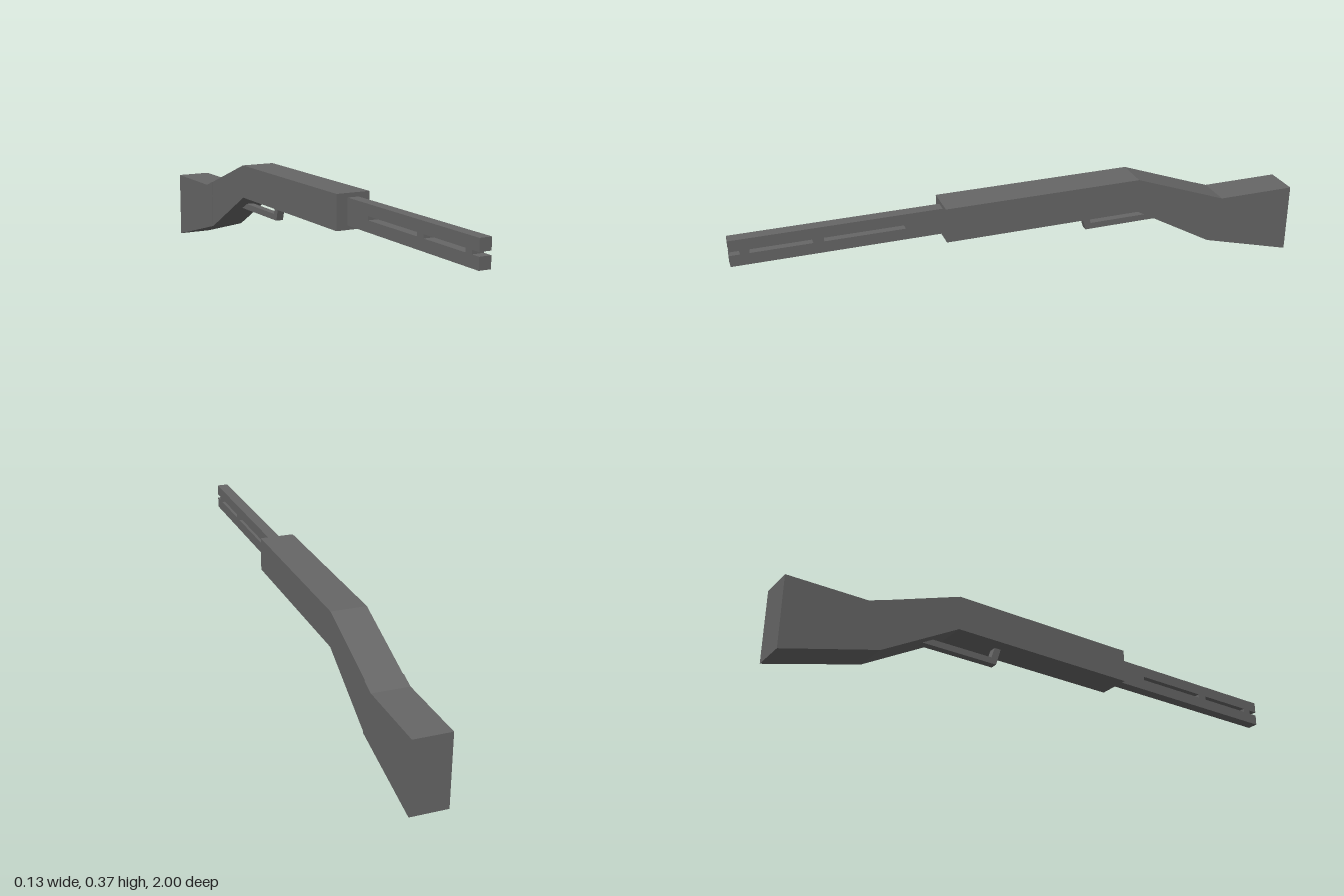
import * as THREE from 'three';

export function createModel() {
  const model = new THREE.Group();
  const darkGrey = new THREE.MeshStandardMaterial({ color: 0x666666 });
  darkGrey.name = 'darkGrey';

  const toPoints = (pairs) => pairs.map(([z, y]) => new THREE.Vector2(z, y));

  // Extrudes a side profile of [z, y] points evenly about x = 0
  function addProfile(name, outline, width, holes = []) {
    const shape = new THREE.Shape(toPoints(outline));
    for (const hole of holes) shape.holes.push(new THREE.Path(toPoints(hole)));
    const geometry = new THREE.ExtrudeGeometry(shape, { depth: width, bevelEnabled: false });
    geometry.translate(0, 0, -width / 2);
    geometry.rotateY(-Math.PI / 2);
    const mesh = new THREE.Mesh(geometry, darkGrey);
    mesh.name = name;
    model.add(mesh);
  }

  // Twin barrel plate: two long slots and an open notch at the muzzle
  const slotLow = 0.302, slotHigh = 0.315;
  const slot = (z0, z1) => [[z0, slotLow], [z0, slotHigh], [z1, slotHigh], [z1, slotLow]];
  addProfile('barrels', [
    [0.28, 0.263], [1, 0.263], [1, slotLow], [0.967, slotLow],
    [0.967, slotHigh], [1, slotHigh], [1, 0.354], [0.28, 0.354],
  ], 0.041, [slot(0.43, 0.7), slot(0.735, 0.937)]);

  // Straight receiver block
  addProfile('receiver', [[-0.39, 0.248], [0.303, 0.248], [0.303, 0.369], [-0.39, 0.369]], 0.122);

  // Sloping wrist, then the slightly wider butt
  addProfile('wrist', [[-0.67, 0.09], [-0.39, 0.248], [-0.39, 0.369], [-0.67, 0.266]], 0.122);
  addProfile('butt', [[-1, 0], [-0.67, 0.09], [-0.67, 0.266], [-0.72, 0.248], [-1, 0.248]], 0.126);

  // Hooked trigger guard
  addProfile('triggerGuard', [
    [-0.196, 0.25], [-0.22, 0.25], [-0.233, 0.209], [-0.48, 0.209],
    [-0.5, 0.187], [-0.214, 0.187],
  ], 0.027);

  return model;
}
